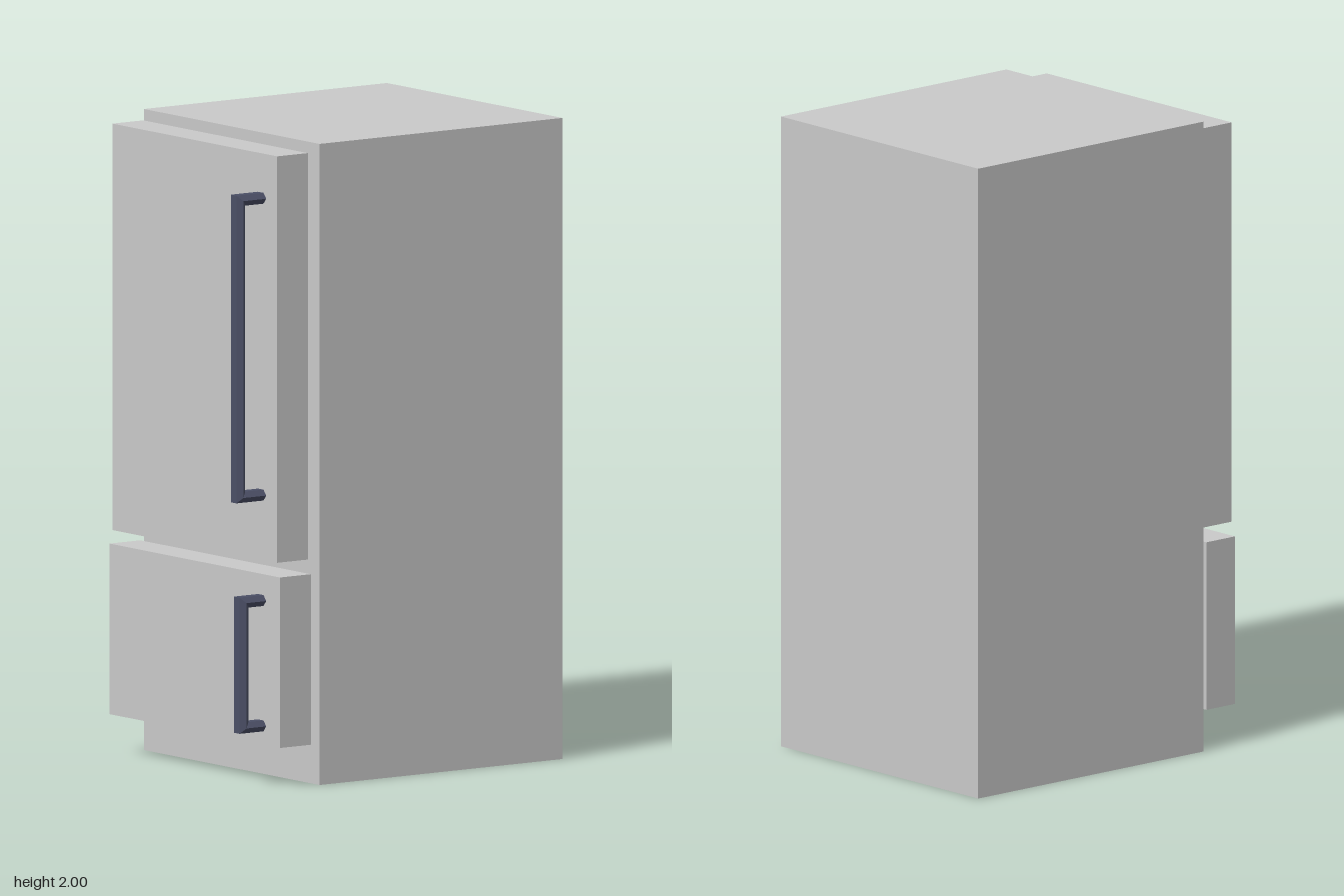
import * as THREE from 'three';

const bodyGrey = new THREE.MeshStandardMaterial({ name: 'bodyGrey', color: 0xc9c9c9 });
const sealSlate = new THREE.MeshStandardMaterial({ name: 'sealSlate', color: 0x55566d });
const handleSlate = new THREE.MeshStandardMaterial({ name: 'handleSlate', color: 0x4b4f66 });

// Box given by its lower and upper limits on each axis
function box(name, material, [x0, x1], [y0, y1], [z0, z1]) {
  const mesh = new THREE.Mesh(new THREE.BoxGeometry(x1 - x0, y1 - y0, z1 - z0), material);
  mesh.name = name;
  mesh.position.set((x0 + x1) / 2, (y0 + y1) / 2, (z0 + z1) / 2);
  return mesh;
}

// Flattened hexagonal bar swept along a mitred bracket: arm, grip, arm
function handle(name, xOuter, xDoor, yLow, yHigh, zCentre) {
  const half = 0.017, halfZ = 0.0285, sides = 6;
  const path = [
    { x: xDoor, y: yLow + half, dx: 0, dy: -1 },
    { x: xOuter + half, y: yLow + half, dx: -1, dy: -1 },
    { x: xOuter + half, y: yHigh - half, dx: -1, dy: 1 },
    { x: xDoor, y: yHigh - half, dx: 0, dy: 1 },
  ];
  const point = (p, j) => {
    const a = Math.PI / 6 + (j * Math.PI * 2) / sides;
    const n = (half * Math.cos(a)) / Math.cos(Math.PI / 6);
    return [p.x + p.dx * n, p.y + p.dy * n, zCentre + halfZ * Math.sin(a)];
  };
  const pos = [];
  for (let k = 0; k < path.length - 1; k++) {
    for (let j = 0; j < sides; j++) {
      const a = point(path[k], j), b = point(path[k], j + 1);
      const c = point(path[k + 1], j + 1), d = point(path[k + 1], j);
      pos.push(...a, ...b, ...c, ...a, ...c, ...d);
    }
  }
  const geo = new THREE.BufferGeometry();
  geo.setAttribute('position', new THREE.Float32BufferAttribute(pos, 3));
  geo.computeVertexNormals();
  const mesh = new THREE.Mesh(geo, handleSlate);
  mesh.name = name;
  return mesh;
}

export function createModel() {
  const fridge = new THREE.Group();
  fridge.name = 'refrigerator';
  const doorX = [-0.485, -0.367], sealX = [-0.37, -0.343];

  fridge.add(box('cabinet', bodyGrey, [-0.344, 0.586], [0, 2], [-0.459, 0.457]));

  // Upper door with its seal and long handle
  fridge.add(
    box('upperDoor', bodyGrey, doorX, [0.702, 1.97], [-0.431, 0.428]),
    box('upperSeal', sealSlate, sealX, [0.735, 1.937], [-0.398, 0.394]),
    handle('upperHandle', -0.589, -0.48, 0.888, 1.848, 0.343),
  );

  // Lower door with its seal and short handle
  fridge.add(
    box('lowerDoor', bodyGrey, doorX, [0.126, 0.658], [-0.446, 0.443]),
    box('lowerSeal', sealSlate, sealX, [0.155, 0.63], [-0.41, 0.407]),
    handle('lowerHandle', -0.577, -0.48, 0.168, 0.593, 0.343),
  );
  return fridge;
}
